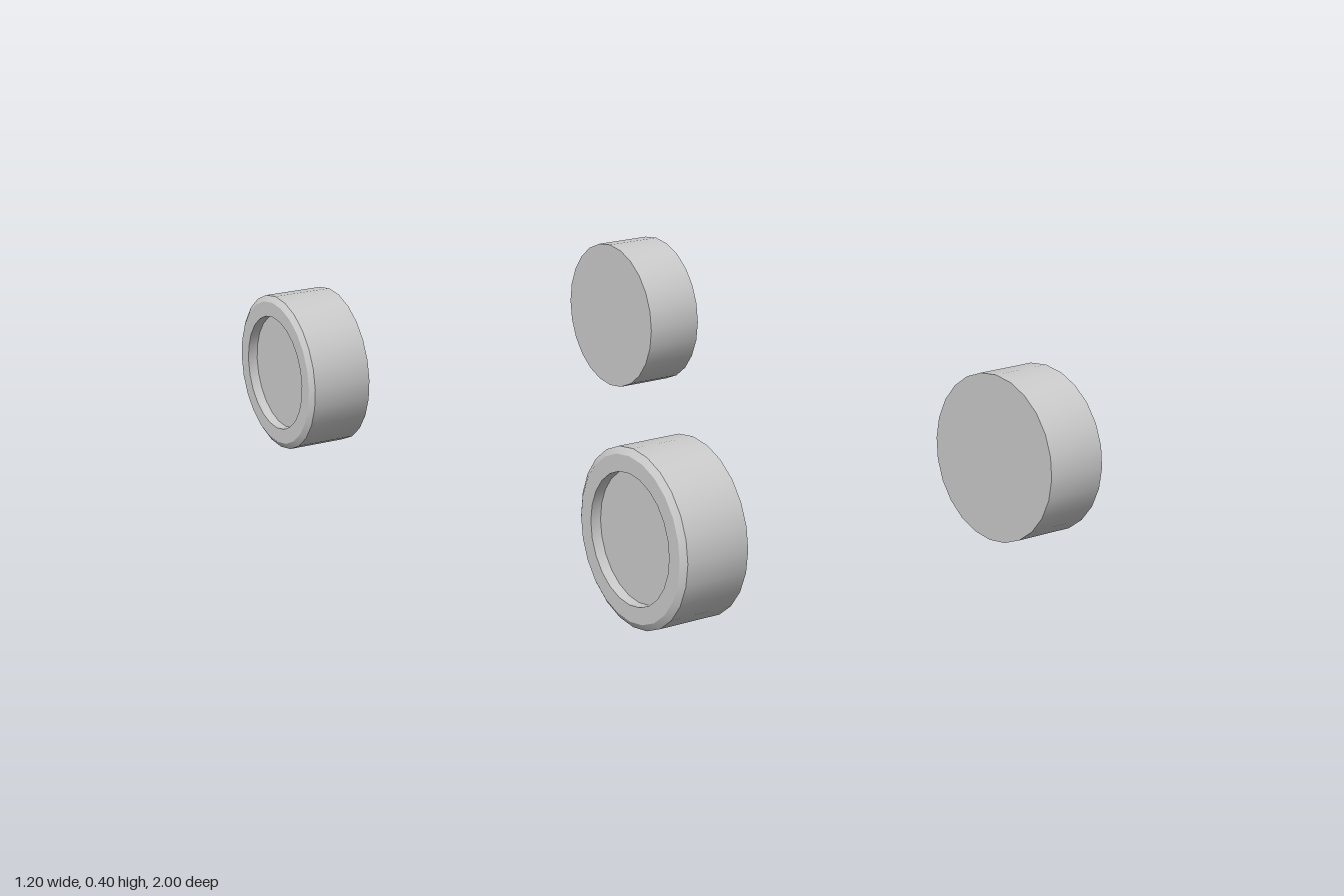
import * as THREE from 'three';
import { toCreasedNormals } from 'three/addons/utils/BufferGeometryUtils.js';

const RADIUS = 0.2, WIDTH = 0.165, SEGMENTS = 24;
const HUB_RADIUS = 0.147, HUB_DEPTH = 0.025;

// Wheel turned about its axle: flat inner side, bevelled tread edge, recessed hub
function wheelGeometry() {
  const profile = [
    [0, 0],
    [RADIUS, 0],
    [RADIUS, WIDTH - 0.01],
    [RADIUS - 0.015, WIDTH],
    [HUB_RADIUS, WIDTH],
    [HUB_RADIUS, WIDTH - HUB_DEPTH],
    [0, WIDTH - HUB_DEPTH],
  ].map(([r, h]) => new THREE.Vector2(r, h));
  return toCreasedNormals(new THREE.LatheGeometry(profile, SEGMENTS), 0.5);
}

export function createModel() {
  const model = new THREE.Group();
  model.name = 'wheelSet';
  const material = new THREE.MeshStandardMaterial({ color: 0xcccccc });
  const geometry = wheelGeometry();

  // The rear pair sits slightly further apart than the front pair
  const axles = [
    { name: 'front', z: 0.8, inner: 0.427 },
    { name: 'rear', z: -0.8, inner: 0.436 },
  ];
  for (const { name, z, inner } of axles) {
    for (const side of [1, -1]) {
      const wheel = new THREE.Mesh(geometry, material);
      wheel.name = name + (side > 0 ? 'LeftWheel' : 'RightWheel');
      wheel.rotation.z = -side * Math.PI / 2;
      wheel.position.set(side * inner, RADIUS, z);
      model.add(wheel);
    }
  }
  return model;
}
